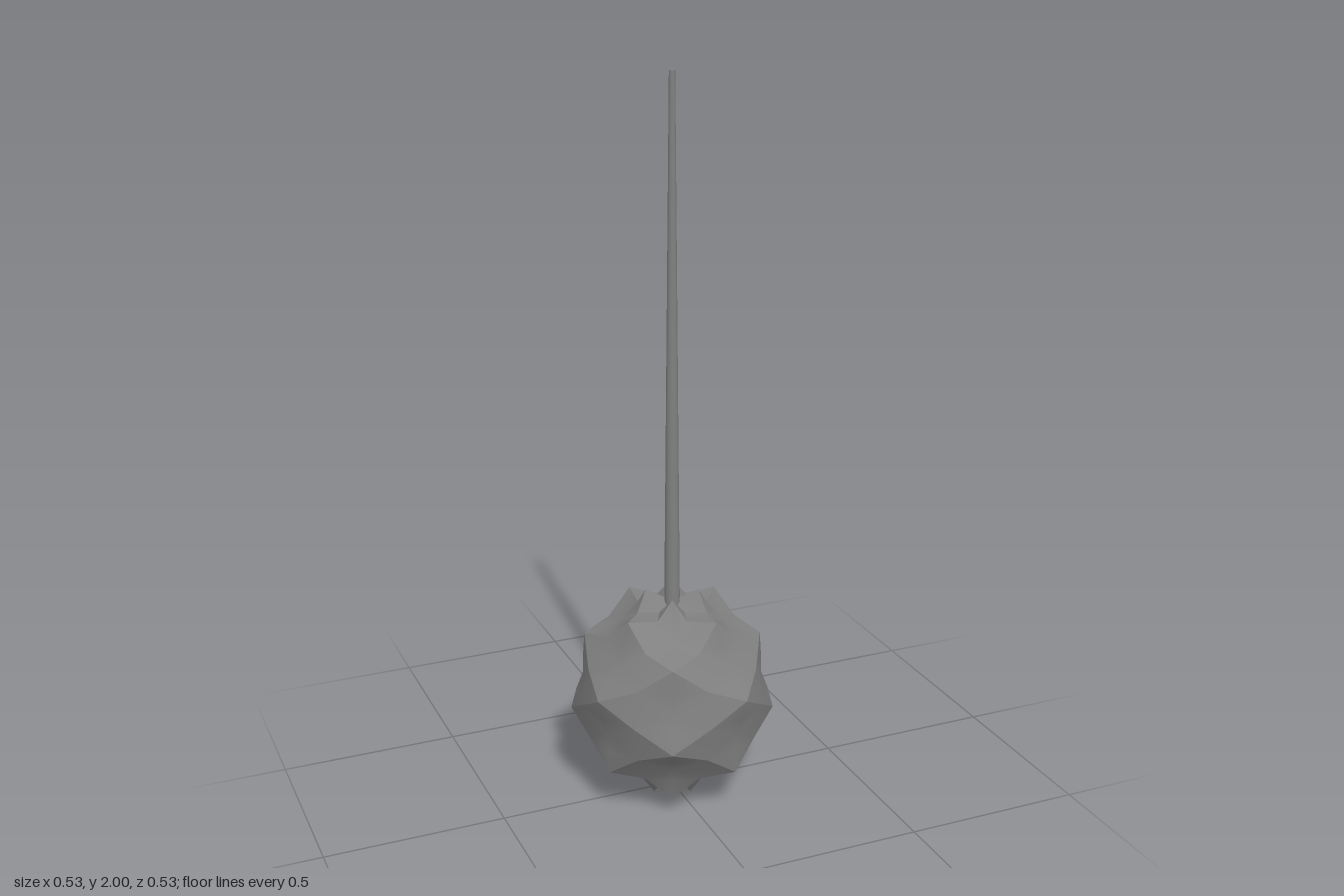
import * as THREE from 'three';
import { mergeGeometries, toCreasedNormals } from 'three/addons/utils/BufferGeometryUtils.js';

const COLS = 16, ROWS = 16, RADIUS = 0.267, CENTRE = 0.3;
const SIDES = [[1, 0], [0, 1], [-1, 0], [0, -1]];

const isOdd = (c, r) => (c & 1) === 1 && (r & 1) === 1;
const isPeak = (c, r) => isOdd(c, r) && (c - r) % 4 === 0;
const isHollow = (c, r) => isOdd(c, r) && (c - r) % 4 !== 0;

// Point of the ball grid: odd nodes are in turn pulled out into peaks and pressed into hollows
function ballPoint([c, r]) {
  const az = (c / COLS) * Math.PI * 2;
  const lat = (r / ROWS - 0.5) * Math.PI;
  let flat = RADIUS * Math.cos(lat), tall = RADIUS;
  if (isPeak(c, r)) { flat += 0.02; tall += 0.038; }
  if (isHollow(c, r)) { flat -= 0.014 * Math.cos(lat); tall -= 0.014; }
  return [flat * Math.sin(az), CENTRE + tall * Math.sin(lat), flat * Math.cos(az)];
}

// Diamond-shaped dish around one hollow, reaching out to the peaks beside, above and below it
function createDish(c, r) {
  const positions = [];
  const tri = (...nodes) => {
    const outside = nodes.some(([, row]) => row < 0 || row > ROWS);
    const atPole = nodes.filter(([, row]) => row === 0 || row === ROWS).length;
    if (!outside && atPole < 2) nodes.forEach((n) => positions.push(...ballPoint(n)));
  };
  SIDES.forEach(([x, y]) => {
    const hollow = [c, r], peak = [c + 2 * x, r + 2 * y], side = [c + x, r + y];
    const left = [c + x - y, r + y + x], right = [c + x + y, r + y - x];
    tri(hollow, right, side);
    tri(hollow, side, left);
    tri(peak, left, side);
    tri(peak, side, right);
  });
  const geometry = new THREE.BufferGeometry();
  geometry.setAttribute('position', new THREE.Float32BufferAttribute(positions, 3));
  return toCreasedNormals(geometry, 0.7);
}

export function createModel() {
  const group = new THREE.Group();
  const material = new THREE.MeshStandardMaterial({ color: 0x808080 });

  // Ball of smooth dishes that meet in sharp zigzag ridges
  const dishes = [];
  for (let r = 1; r < ROWS; r += 2) {
    for (let c = 1; c < COLS; c += 2) if (isHollow(c, r)) dishes.push(createDish(c, r));
  }
  const ball = new THREE.Mesh(mergeGeometries(dishes), material);
  ball.name = 'ball';
  group.add(ball);

  // Slender tapering rod rising from the top of the ball
  const bottom = 0.5, top = 2;
  const rod = new THREE.Mesh(new THREE.CylinderGeometry(0.008, 0.022, top - bottom, 16), material);
  rod.position.y = (bottom + top) / 2;
  rod.name = 'rod';
  group.add(rod);

  return group;
}
